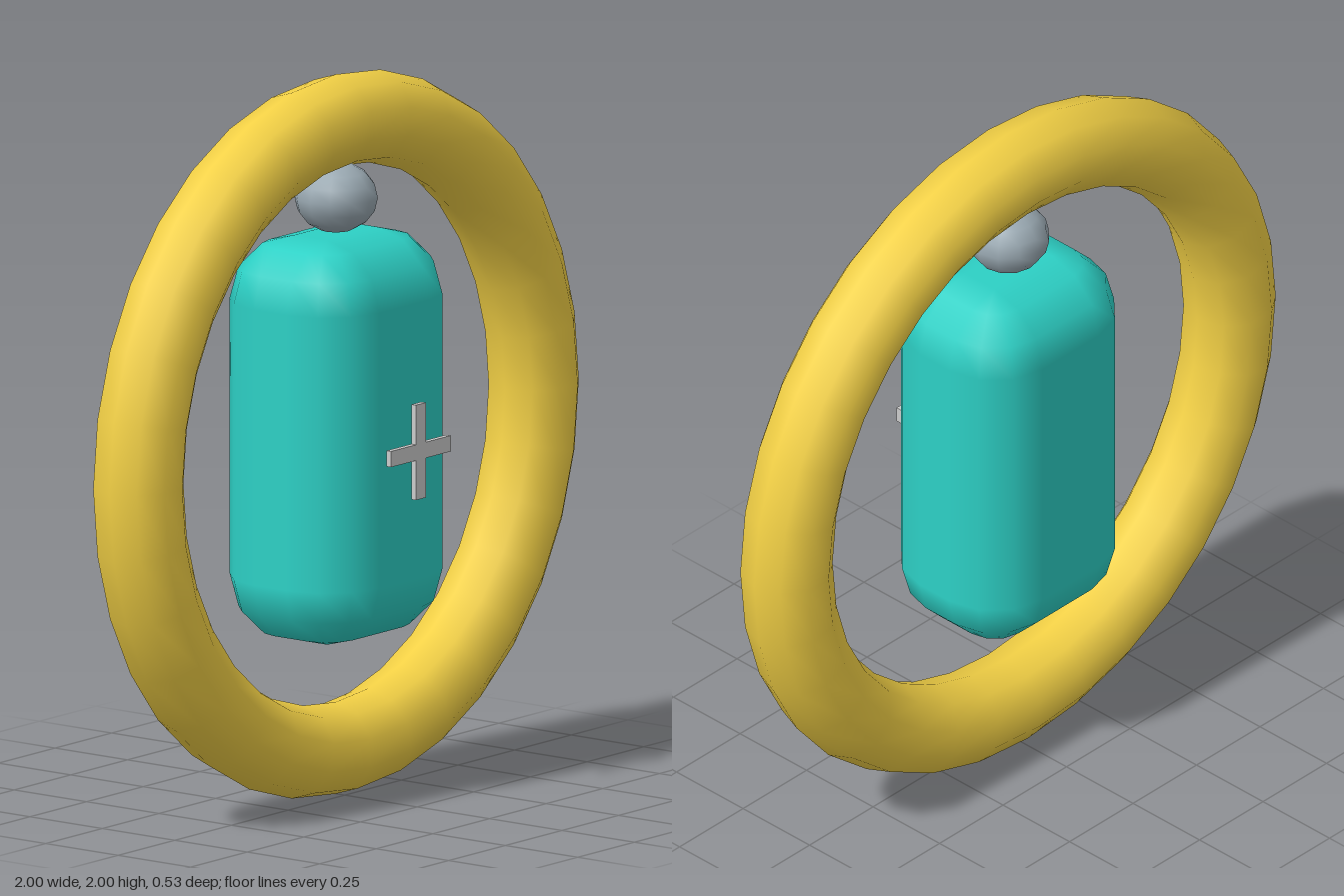
import * as THREE from 'three';

const MID_Z = -0.03;

function part(name, geometry, color, x, y, z) {
  const mesh = new THREE.Mesh(geometry, new THREE.MeshStandardMaterial({ color }));
  mesh.name = name;
  mesh.position.set(x, y, z);
  return mesh;
}

// Box with rounded edges: a sphere grid split into eight corners that are pushed apart.
function roundedBlock(hx, hy, hz, r, steps) {
  const cols = 4 * (steps + 1);
  const rows = 2 * steps + 3; // corner rows plus a flat cap at each end
  const geo = new THREE.SphereGeometry(1, cols, rows);
  const pos = geo.attributes.position;
  const nor = geo.attributes.normal;
  const step = Math.PI / 2 / steps;
  for (let row = 0, i = 0; row <= rows; row++) {
    const cap = row === 0 || row === rows;
    const top = row <= steps + 1;
    const theta = top ? Math.max(row - 1, 0) * step : Math.min(row - 2, 2 * steps) * step;
    for (let col = 0; col <= cols; col++, i++) {
      const c = col % cols;
      const quarter = Math.floor(c / (steps + 1));
      const phi = quarter * Math.PI / 2 + (c % (steps + 1)) * step;
      const sx = quarter === 0 || quarter === 3 ? -1 : 1;
      const sz = quarter < 2 ? 1 : -1;
      const nx = -Math.cos(phi) * Math.sin(theta);
      const ny = Math.cos(theta);
      const nz = Math.sin(phi) * Math.sin(theta);
      const spread = cap ? 0 : 1;
      pos.setXYZ(i,
        spread * sx * (hx - r) + nx * r,
        (top ? 1 : -1) * (hy - r) + ny * r,
        spread * sz * (hz - r) + nz * r);
      nor.setXYZ(i, nx, ny, nz);
    }
  }
  return geo;
}

// Plus-shaped plate, drawn by turning one arm four times.
function plusPlate(reach, half, depth) {
  const points = [];
  const centre = new THREE.Vector2();
  for (let k = 0; k < 4; k++) {
    for (const [x, y] of [[half, -half], [reach, -half], [reach, half]]) {
      points.push(new THREE.Vector2(x, y).rotateAround(centre, k * Math.PI / 2));
    }
  }
  return new THREE.ExtrudeGeometry(new THREE.Shape(points), { depth, bevelEnabled: false });
}

export function createModel() {
  const model = new THREE.Group();
  model.name = 'ringPendant';

  // Outer ring
  model.add(part('ring', new THREE.TorusGeometry(0.8725, 0.1275, 10, 32), 0xf2d045, 0, 1, MID_Z));

  // Hanging rounded body
  model.add(part('body', roundedBlock(0.29, 0.5625, 0.235, 0.18, 3), 0x2dd0c5, 0, 1.0025, MID_Z));

  // Knob joining body and ring
  const knob = part('knob', new THREE.SphereGeometry(0.115, 12, 8), 0x9aa9b2, 0, 1.66, MID_Z);
  knob.scale.y = 0.85;
  model.add(knob);

  // Plus emblem floating in front of the body
  model.add(part('plusEmblem', plusPlate(0.132, 0.022, 0.016), 0xdde0e0, 0, 0.99, 0.247));

  return model;
}
